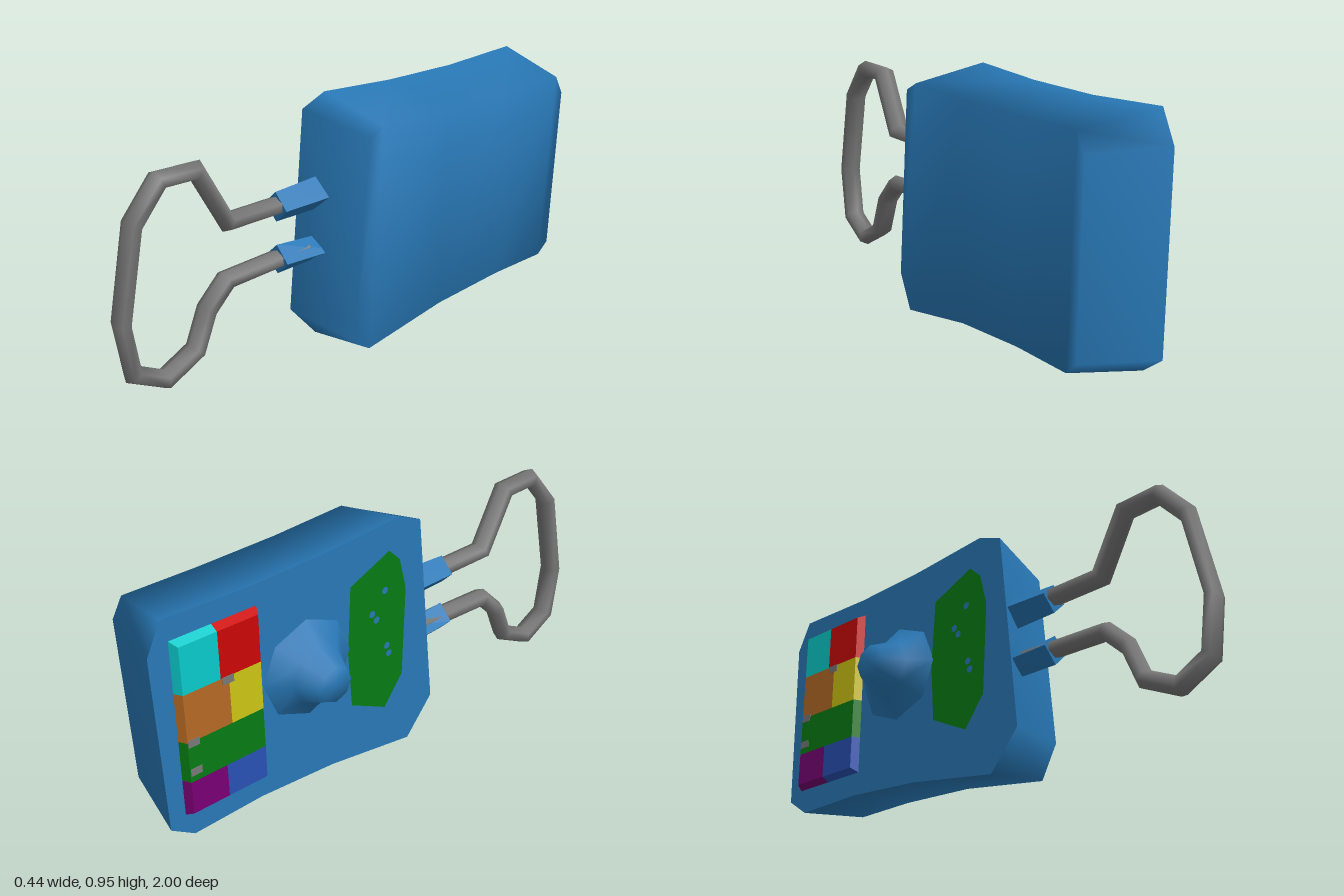
import * as THREE from 'three';

const mat = (name, color) => {
  const m = new THREE.MeshStandardMaterial({ color });
  m.name = name;
  return m;
};
const V = (x, y, z) => new THREE.Vector3(x, y, z);

// Skin a closed solid over rings ordered counter-clockwise around the travel direction.
// Caps are strips running across the ring; the first cap is crisp, the last blends unless flat.
function loft(rings, flat = true) {
  const n = rings[0].length, pos = [], idx = [];
  const add = (p) => pos.push(p.x, p.y, p.z);
  rings.forEach((r) => r.forEach(add));
  rings[0].forEach(add);
  for (let k = 0; k < rings.length - 1; k++) {
    for (let i = 0; i < n; i++) {
      const j = (i + 1) % n, a = k * n, b = a + n;
      idx.push(a + i, a + j, b + j, a + i, b + j, b + i);
    }
  }
  const end = (rings.length - 1) * n, start = end + n;
  for (let k = 0; k < n / 2 - 1; k++) {
    const [l1, l0, r0, r1] = [-k, 1 - k, 2 + k, 3 + k].map((i) => (i + n) % n);
    idx.push(end + l1, end + l0, end + r0, end + l1, end + r0, end + r1);
    idx.push(start + l1, start + r0, start + l0, start + l1, start + r1, start + r0);
  }
  let g = new THREE.BufferGeometry();
  g.setAttribute('position', new THREE.Float32BufferAttribute(pos, 3));
  g.setIndex(idx);
  if (flat) g = g.toNonIndexed();
  g.computeVertexNormals();
  return g;
}

// A ring at constant x from [z, y] pairs
const ringAt = (x, pts) => pts.map(([z, y]) => V(x, y, z));
const rect = (z0, z1, y0, y1) => [[z0, y1], [z1, y1], [z1, y0], [z0, y0]];

export function createModel() {
  const group = new THREE.Group();
  const blue = mat('bodyBlue', 0x2878b6);
  const grey = mat('handleGrey', 0x787878);
  const red = mat('buttonRed', 0xcc0606);
  const cyan = mat('buttonCyan', 0x0acaca);
  const green = mat('panelGreen', 0x067c14);
  const brown = mat('buttonBrown', 0xb56a24);
  const yellow = mat('buttonYellow', 0xccc414);
  const navy = mat('buttonBlue', 0x2850b4);
  const purple = mat('buttonPurple', 0x780074);

  const part = (name, geometry, material, parent = group) => {
    const m = new THREE.Mesh(geometry, material);
    m.name = name;
    parent.add(m);
    return m;
  };

  // Body: waisted slab that narrows towards +x
  const backOutline = [
    [0.035, 0.955], [0.137, 0.914], [0.21, 0.144], [0.09, 0.0], [-0.286, 0.058], [-0.607, 0.08],
    [-0.89, 0.072], [-0.98, 0.134], [-0.997, 0.807], [-0.94, 0.922], [-0.607, 0.915], [-0.286, 0.927],
  ];
  const faceOutline = [
    [0.02, 0.902], [0.085, 0.872], [0.147, 0.18], [0.08, 0.053], [-0.286, 0.107], [-0.607, 0.122],
    [-0.87, 0.118], [-0.92, 0.16], [-0.94, 0.8], [-0.9, 0.872], [-0.607, 0.873], [-0.286, 0.882],
  ];
  part('body', loft([ringAt(-0.07, backOutline), ringAt(0.22, faceOutline)], false), blue);

  // Eight-sided knob with a flared foot
  const profile = [[0.19, 0], [0.11, 0.065], [0.067, 0.15], [0, 0.15]];
  const knob = part('knob',
    new THREE.LatheGeometry(profile.map(([r, h]) => new THREE.Vector2(r, h)), 8), blue);
  knob.position.set(-0.07, 0.52, -0.385);
  knob.rotation.z = Math.PI / 2;

  // Button block: two columns by four rows, bevelled round the outside only
  const rows = [0.167, 0.31, 0.465, 0.648, 0.84];
  const splits = [-0.76, -0.76, -0.728, -0.76];
  const colours = [[purple, navy], [green, green], [brown, yellow], [cyan, red]];
  const buttons = new THREE.Group();
  buttons.name = 'buttons';
  group.add(buttons);
  const b = 0.016;
  colours.forEach((pair, r) => pair.forEach((material, c) => {
    const cols = [-0.92, splits[r], -0.585];
    const [z0, z1, y0, y1] = [cols[c], cols[c + 1], rows[r], rows[r + 1]];
    const top = rect(c === 0 ? z0 + b : z0, c === 1 ? z1 - b : z1,
      r === 0 ? y0 + b : y0, r === 3 ? y1 - b : y1);
    part('button', loft([ringAt(-0.1, top), ringAt(-0.068, rect(z0, z1, y0, y1))]), material, buttons);
  }));

  // Small grey chips between the buttons
  [[-0.88, 0.46], [-0.88, 0.348], [-0.732, 0.636]].forEach(([z, y]) => {
    const chip = rect(z - 0.022, z + 0.022, y - 0.014, y + 0.014);
    part('buttonGap', loft([ringAt(-0.102, chip), ringAt(-0.099, chip)]), grey, buttons);
  });

  // Paper-thin green panel near the handle end, pierced by small holes
  const outline = [
    [-0.01, 0.84], [0.04, 0.79], [0.07, 0.665], [0.055, 0.31], [-0.03, 0.195],
    [-0.19, 0.275], [-0.205, 0.5], [-0.19, 0.76],
  ];
  const panel = new THREE.Shape(outline.map(([z, y]) => new THREE.Vector2(z, y)));
  [[-0.03, 0.69], [-0.09, 0.615], [-0.07, 0.585], [-0.02, 0.46], [-0.01, 0.425]].forEach(([z, y]) => {
    panel.holes.push(new THREE.Path().absarc(z, y, 0.014, 0, Math.PI * 2, true));
  });
  const sidePanel = part('sidePanel', new THREE.ShapeGeometry(panel, 4), green);
  sidePanel.rotation.y = -Math.PI / 2;
  sidePanel.position.x = -0.0715;

  // Handle: six-sided bar swept along a bent loop with mitred corners
  const path = [
    [0.2, 0.425], [0.55, 0.418], [0.635, 0.335], [0.69, 0.2], [0.82, 0.137], [0.94, 0.205],
    [0.968, 0.405], [0.9, 0.735], [0.795, 0.857], [0.65, 0.85], [0.535, 0.632], [0.2, 0.625],
  ].map(([z, y]) => V(0.004, y, z));
  const X = V(1, 0, 0);
  const bar = path.map((p, i) => {
    const before = p.clone().sub(path[Math.max(i - 1, 0)]).normalize();
    const after = path[Math.min(i + 1, path.length - 1)].clone().sub(p).normalize();
    const t = before.clone().add(after).normalize();
    const stretch = 1 / Math.max(t.dot(after), t.dot(before), 0.6);
    const side = X.clone().cross(t);
    return Array.from({ length: 6 }, (_, k) => {
      const a = (k * Math.PI) / 3;
      return p.clone().addScaledVector(side, 0.032 * stretch * Math.cos(a))
        .addScaledVector(X, 0.042 * Math.sin(a));
    });
  });
  part('handle', loft(bar, false), grey);

  // Four-sided sockets joining handle to body
  const diamond = (z, y, w, h) => [V(w, y, z), V(0, y + h, z), V(-w, y, z), V(0, y - h, z)];
  [[0.622, 0.622, 0.064], [0.408, 0.42, 0.044]].forEach(([rootY, endY, rootH]) => {
    const socket = part('handleSocket',
      loft([diamond(0.1, rootY, 0.066, rootH), diamond(0.325, endY, 0.058, 0.056)]), blue);
    socket.position.x = 0.004;
  });

  return group;
}
